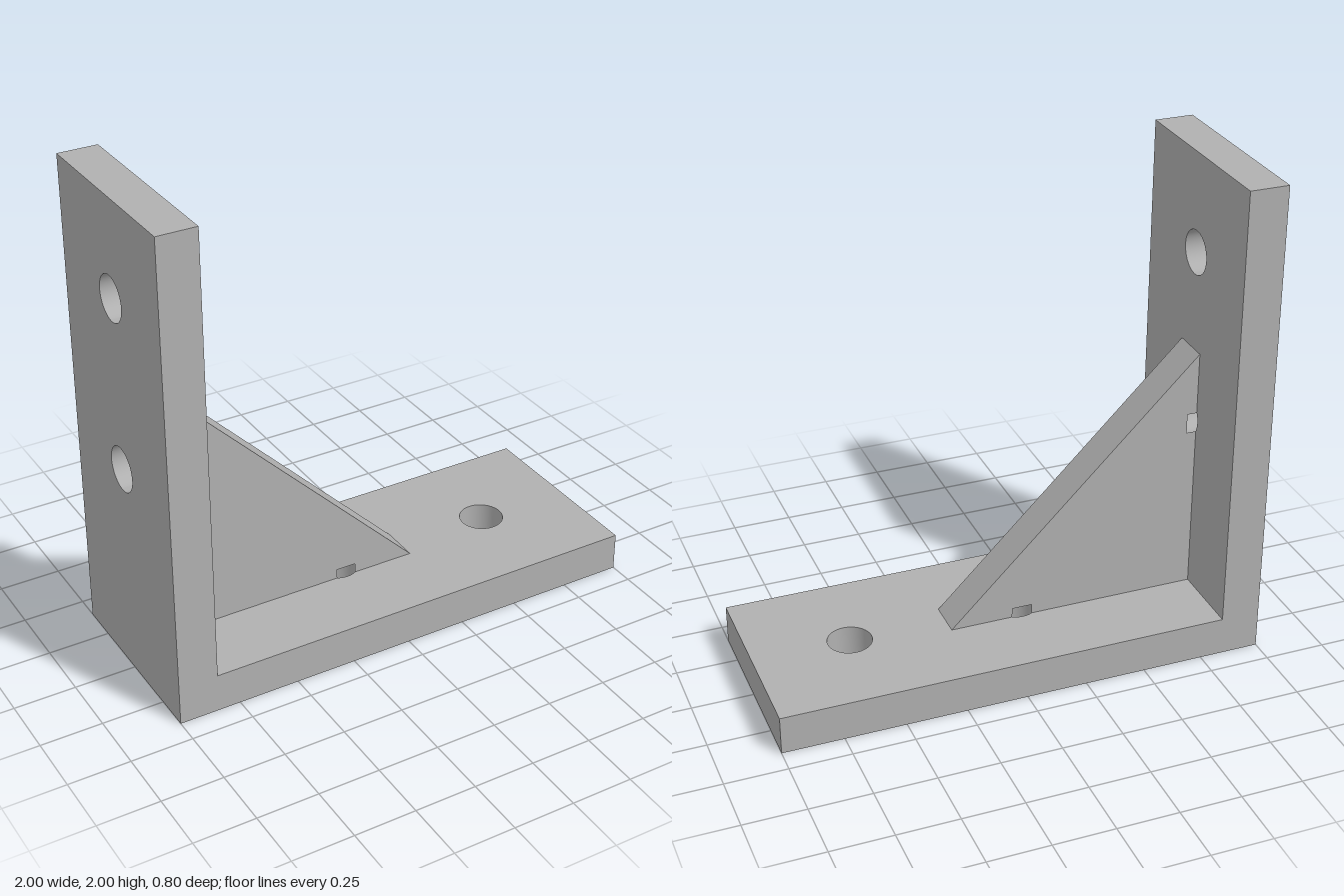
import * as THREE from 'three';
import { toCreasedNormals } from 'three/addons/utils/BufferGeometryUtils.js';

const T = 0.16;       // plate and rib thickness
const HALF = 0.4;     // half the plate depth
const R = 0.09;       // bolt hole radius
const POCKET = 0.04;  // how far the inner holes are drilled into the rib

// Plate outline with round bolt holes on its centre line, along the shape's y
function drilledPlate(from, to, holes) {
  const shape = new THREE.Shape([
    new THREE.Vector2(-HALF, from), new THREE.Vector2(HALF, from),
    new THREE.Vector2(HALF, to), new THREE.Vector2(-HALF, to),
  ]);
  for (const y of holes) {
    shape.holes.push(new THREE.Path().absarc(0, y, R, 0, Math.PI * 2, true));
  }
  const geo = new THREE.ExtrudeGeometry(shape, { depth: T, bevelEnabled: false, curveSegments: 32 });
  return toCreasedNormals(geo, 0.6);
}

// Triangular rib whose two notches continue the round holes
function ribGeometry() {
  const inner = -1 + T;
  const w = Math.sqrt(R * R - (T / 2) ** 2); // notch half-width on the rib's sides
  const hx = -0.1, hy = 0.9;
  const outline = [
    [inner, T], [hx - w, T], [hx - w, T + POCKET], [hx + w, T + POCKET], [hx + w, T], [0.2, T],
    [inner, 1.2], [inner, hy + w], [inner + POCKET, hy + w], [inner + POCKET, hy - w], [inner, hy - w],
  ].map(([x, y]) => new THREE.Vector2(x, y));
  const geo = new THREE.ExtrudeGeometry(new THREE.Shape(outline), { depth: T, steps: 20, bevelEnabled: false });
  geo.translate(0, 0, -T / 2);

  // Widen the notches towards the middle so they follow the hole's circle
  const p = geo.attributes.position;
  for (let i = 0; i < p.count; i++) {
    const x = p.getX(i), y = p.getY(i), z = p.getZ(i);
    const chord = Math.sqrt(R * R - z * z);
    if (Math.abs(Math.abs(x - hx) - w) < 1e-4) p.setX(i, hx + Math.sign(x - hx) * chord);
    if (Math.abs(Math.abs(y - hy) - w) < 1e-4) p.setY(i, hy + Math.sign(y - hy) * chord);
  }
  return toCreasedNormals(geo, 0.6);
}

export function createModel() {
  const group = new THREE.Group();
  group.name = 'cornerBracket';
  const steel = new THREE.MeshStandardMaterial({ color: 0xb0b0b0 });
  steel.name = 'grey metal';

  const add = (name, geo) => {
    const mesh = new THREE.Mesh(geo, steel);
    mesh.name = name;
    group.add(mesh);
  };

  // Upright plate on the -x side
  add('uprightPlate', drilledPlate(0, 2, [0.9, 1.6]).rotateY(Math.PI / 2).translate(-1, 0, 0));

  // Base plate, laid flat with its length along +x
  add('basePlate', drilledPlate(-1 + T, 1, [-0.1, 0.6])
    .rotateZ(-Math.PI / 2).rotateX(-Math.PI / 2));

  // Stiffening rib in the corner
  add('rib', ribGeometry());
  return group;
}
